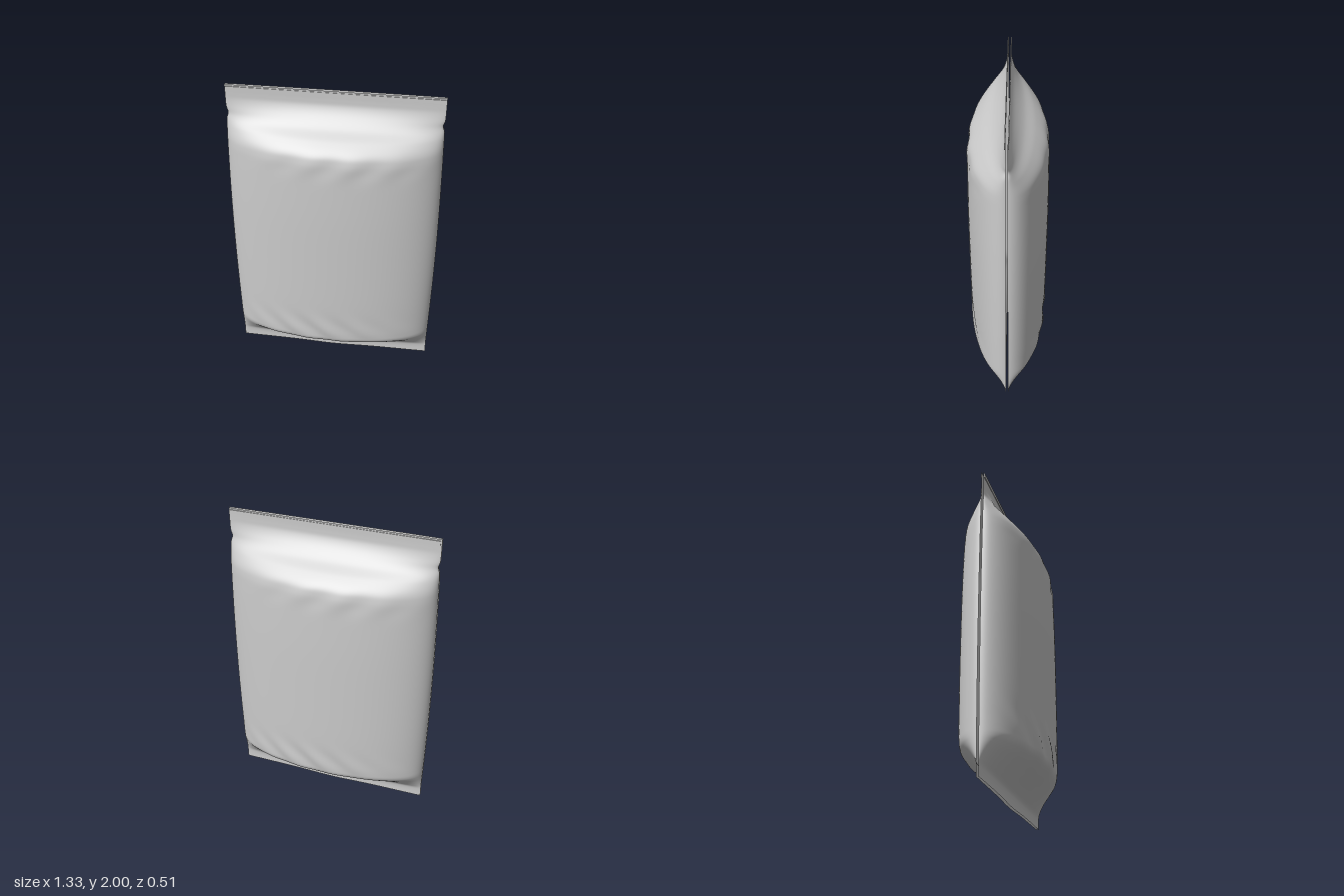
import * as THREE from 'three';

const material = new THREE.MeshStandardMaterial({ color: 0xcccccc, side: THREE.DoubleSide });

// Half-depth profile from bottom seal to top seal: (depth, height)
const profile = new THREE.SplineCurve([
  [0.01, 0.01], [0.011, 0.055], [0.022, 0.085], [0.06, 0.115], [0.125, 0.16], [0.2, 0.212],
  [0.238, 0.25], [0.248, 0.3], [0.251, 0.42], [0.254, 0.6], [0.255, 0.9], [0.255, 1.2],
  [0.252, 1.42], [0.248, 1.56], [0.242, 1.64], [0.222, 1.69], [0.165, 1.745], [0.095, 1.795],
  [0.045, 1.85], [0.016, 1.9], [0.01, 1.94], [0.01, 2.0],
].map(([z, y]) => new THREE.Vector2(z, y)));

const bell = (t, centre, width) => Math.exp(-(((t - centre) / width) ** 2));

// Half width: slightly bulged sides, pinched just under the top seal
function halfWidth(y) {
  const t = THREE.MathUtils.clamp((y - 0.1) / 1.7, 0, 1);
  return 0.653 + 0.013 * Math.sin(Math.PI * t) - 0.011 * bell(y, 1.82, 0.025);
}

// Slanted creases near the lower and upper shoulders
function creases(x, y) {
  const low = 0.008 * bell(y, 0.34, 0.1) * bell(x, -0.12, 0.45) * Math.sin((x + 0.9 * y) * 26);
  const high = 0.005 * bell(y, 1.61, 0.07) * bell(x, 0.1, 0.5) * Math.sin((x - 0.5 * y) * 25);
  return low + high;
}

function panelGeometry() {
  const geometry = new THREE.PlaneGeometry(2, 1, 72, 168);
  const pos = geometry.attributes.position;
  for (let i = 0; i < pos.count; i++) {
    const angle = pos.getX(i) * Math.PI / 2;
    const p = profile.getPoint(THREE.MathUtils.clamp(pos.getY(i) + 0.5, 0, 1));
    const x = halfWidth(p.y) * Math.sin(angle);
    const round = Math.max(0, Math.cos(angle));
    const seal = Math.min(p.x, 0.006);
    const z = seal + (p.x - seal) * round + creases(x, p.y) * round;
    const sag = 0.01 * bell(x, 0, 0.2) * bell(p.y, 0.01, 0.03);
    pos.setXYZ(i, x, p.y - sag, z);
  }
  geometry.computeVertexNormals();
  return geometry;
}

export function createModel() {
  const pouch = new THREE.Group();
  pouch.name = 'pouch';
  const panel = panelGeometry();
  const strip = new THREE.BoxGeometry(1.29, 0.025, 0.006);

  // The two halves repeat by a half turn about the vertical axis
  ['front', 'back'].forEach((side, i) => {
    const half = new THREE.Group();
    half.name = side + 'Half';
    half.rotation.y = i * Math.PI;

    const sheet = new THREE.Mesh(panel, material);
    sheet.name = side + 'Panel';

    // Raised band along the top seal
    const band = new THREE.Mesh(strip, material);
    band.name = side + 'SealBand';
    band.position.set(0, 1.977, 0.01);

    half.add(sheet, band);
    pouch.add(half);
  });
  return pouch;
}
